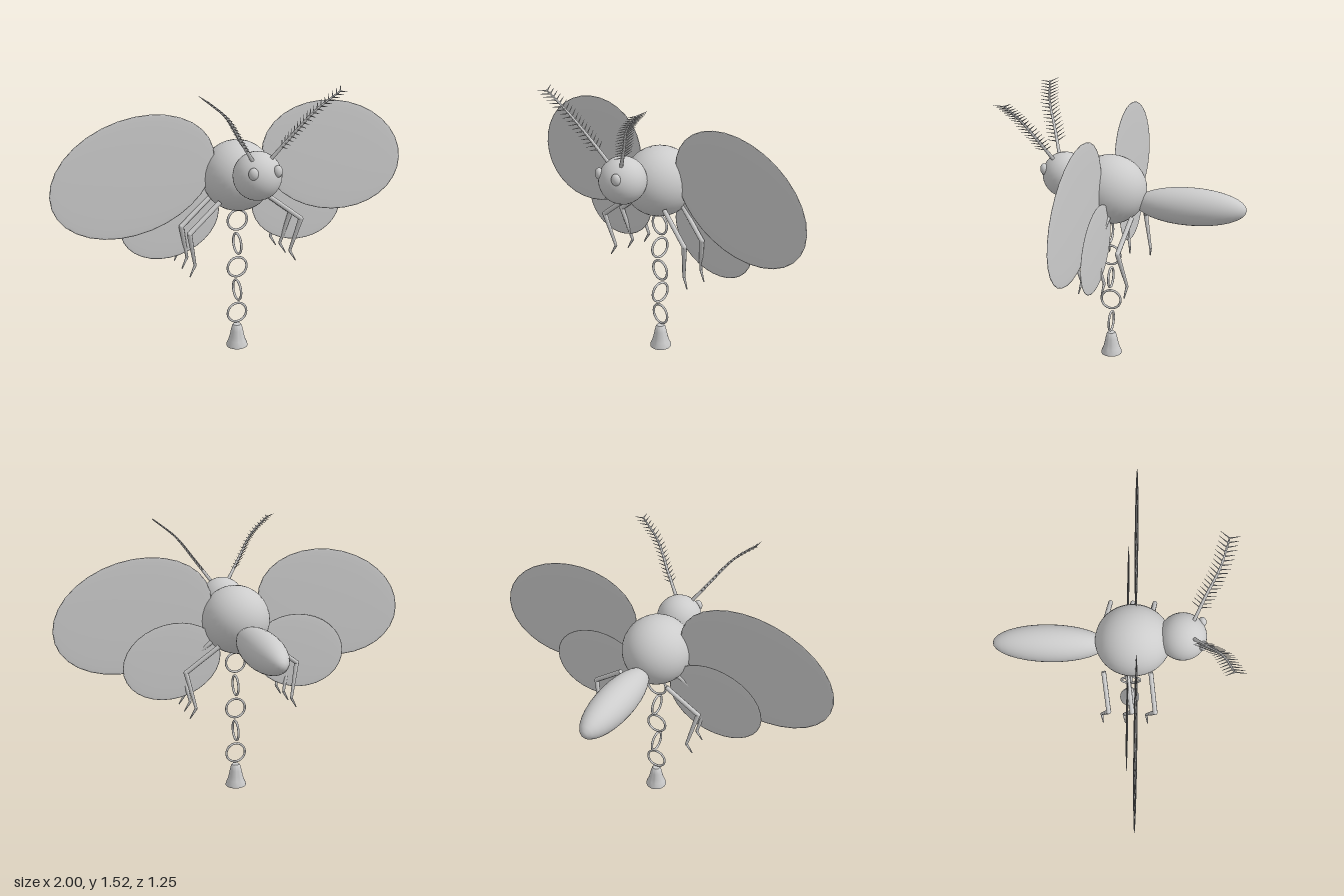
import * as THREE from 'three';
import { toCreasedNormals } from 'three/addons/utils/BufferGeometryUtils.js';

const V = (x, y, z) => new THREE.Vector3(x, y, z);

export function createModel() {
  const model = new THREE.Group();
  const grey = new THREE.MeshStandardMaterial({ color: 0xcccccc });
  grey.name = 'grey';

  const add = (name, geometry, parent = model) => {
    const mesh = new THREE.Mesh(geometry, grey);
    mesh.name = name;
    parent.add(mesh);
    return mesh;
  };

  // Ellipsoid with its poles on the z axis
  const ellipsoid = (name, pos, radii, rows = 20) => {
    const geo = new THREE.SphereGeometry(1, 32, rows).rotateX(Math.PI / 2);
    geo.scale(...radii);
    const mesh = add(name, geo);
    mesh.position.set(...pos);
    return mesh;
  };

  // Tapered rod between two points
  const rod = (name, a, b, ra, rb, sides, parent) => {
    const dir = b.clone().sub(a);
    const mesh = add(name, new THREE.CylinderGeometry(rb, ra, dir.length(), sides), parent);
    mesh.position.copy(a).add(b).multiplyScalar(0.5);
    mesh.quaternion.setFromUnitVectors(V(0, 1, 0), dir.normalize());
    return mesh;
  };

  // Body
  ellipsoid('thorax', [0, 1, 0.12], [0.19, 0.19, 0.2]);
  ellipsoid('head', [0, 1.065, 0.375], [0.125, 0.125, 0.125]);
  ellipsoid('abdomen', [0, 0.937, -0.322], [0.1, 0.103, 0.302], 16);

  for (const s of [-1, 1]) {
    const side = s > 0 ? 'left' : 'right';

    const eye = ellipsoid(side + 'Eye', [s * 0.066, 1.107, 0.474], [0.025, 0.031, 0.021]);
    eye.rotation.y = s * 0.3;

    // Wings are very flat ellipsoids
    const fore = ellipsoid(side + 'Forewing', [s * 0.566, 1.053, 0.133], [0.441, 0.304, 0.006]);
    fore.rotation.z = -s * 0.262;
    const hind = ellipsoid(side + 'Hindwing', [s * 0.37, 0.794, 0.095], [0.277, 0.2135, 0.005]);
    hind.rotation.z = -s * 0.21;

    // Three legs on each side
    ['front', 'middle', 'rear'].forEach((place, i) => {
      const leg = new THREE.Group();
      leg.name = side + place[0].toUpperCase() + place.slice(1) + 'Leg';
      leg.position.z = -0.125 * i;
      model.add(leg);
      const hip = V(s * 0.14, 0.895, 0.217), knee = V(s * 0.32, 0.755, 0.247);
      const ankle = V(s * 0.277, 0.56, 0.207), toe = V(s * 0.31, 0.502, 0.216);
      rod('thigh', hip, knee, 0.013, 0.013, 8, leg);
      rod('shin', knee, ankle, 0.014, 0.008, 8, leg);
      rod('foot', ankle, toe, 0.008, 0.003, 8, leg);
      add('kneeJoint', new THREE.SphereGeometry(0.014, 8, 6), leg).position.copy(knee);
    });

    // Feathered antenna
    const antenna = new THREE.Group();
    antenna.name = side + 'Antenna';
    model.add(antenna);
    const curve = new THREE.CatmullRomCurve3([
      V(s * 0.05, 1.16, 0.425), V(s * 0.135, 1.28, 0.475),
      V(s * 0.23, 1.41, 0.535), V(s * 0.345, 1.505, 0.572),
    ]);
    const steps = 10;
    for (let i = 0; i < steps; i++) {
      const r = (t) => 0.01 - 0.006 * t;
      const a = i / steps, b = (i + 1) / steps;
      rod('stem', curve.getPoint(a), curve.getPoint(b), r(a), r(b), 8, antenna);
    }
    const barbs = 18;
    for (let i = 0; i < barbs; i++) {
      const t = 0.17 + 0.82 * i / (barbs - 1);
      const p = curve.getPointAt(t), tan = curve.getTangentAt(t);
      const across = V(0, 0, 1).addScaledVector(tan, -tan.z).normalize();
      for (const k of [-1, 1]) {
        const tip = p.clone().addScaledVector(across, k * 0.052).addScaledVector(tan, 0.022);
        rod('barb', p, tip, 0.004, 0.0008, 5, antenna);
      }
    }
  }

  // Chain of alternating rings
  for (let i = 0; i < 5; i++) {
    const ring = add('chainRing', new THREE.TorusGeometry(0.056, 0.0065, 10, 36));
    ring.position.set(0, 0.75 - 0.137 * i, 0.123);
    ring.rotation.y = i % 2 ? Math.PI / 2 : 0;
  }

  // Bell weight at the end of the chain
  const profile = [[0, 0], [0.06, 0], [0.058, 0.012], [0.048, 0.035], [0.041, 0.06],
    [0.034, 0.095], [0.027, 0.122], [0.021, 0.13], [0, 0.13]];
  const bell = new THREE.LatheGeometry(profile.map(([x, y]) => new THREE.Vector2(x, y)), 32);
  add('bell', toCreasedNormals(bell, 0.8)).position.z = 0.123;

  return model;
}
